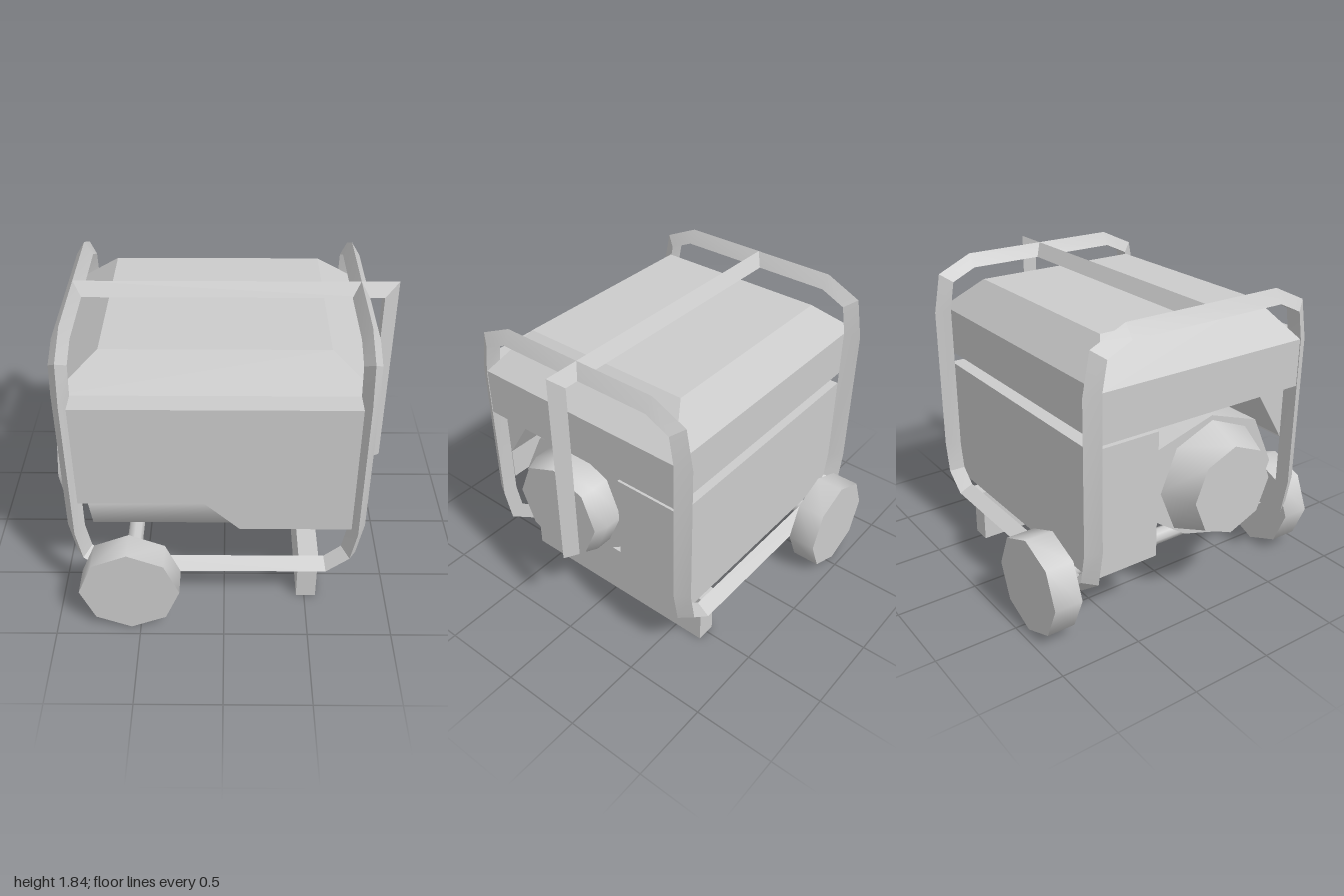
import * as THREE from 'three';
import { toCreasedNormals } from 'three/addons/utils/BufferGeometryUtils.js';

const material = new THREE.MeshStandardMaterial({ color: 0xcccccc });

// Skin a run of equal-sized cross-section rings; caps the ends unless it loops.
function loft(rings, { closed = false, crease = 0.3 } = {}) {
  const n = rings[0].length;
  const tris = [];
  const last = closed ? rings.length : rings.length - 1;
  for (let i = 0; i < last; i++) {
    const a = rings[i], b = rings[(i + 1) % rings.length];
    for (let j = 0; j < n; j++) {
      const k = (j + 1) % n;
      tris.push([a[j], a[k], b[k]], [a[j], b[k], b[j]]);
    }
  }
  if (!closed) {
    const a = rings[0], b = rings[rings.length - 1];
    for (let j = 1; j < n - 1; j++) tris.push([a[0], a[j + 1], a[j]], [b[0], b[j], b[j + 1]]);
  }
  // Turn the faces outward whatever the order of the rings
  let volume = 0;
  const v = (p) => new THREE.Vector3(...p);
  for (const [a, b, c] of tris) volume += v(a).dot(v(b).cross(v(c)));
  if (volume < 0) tris.forEach((t) => t.reverse());
  const geometry = new THREE.BufferGeometry();
  geometry.setAttribute('position', new THREE.Float32BufferAttribute(tris.flat(2), 3));
  return toCreasedNormals(geometry, crease);
}

// Octagonal ring across x, with a corner pointing up
function octagon(x, radius, cy, cz) {
  return Array.from({ length: 8 }, (_, i) => {
    const a = (i * Math.PI) / 4;
    return [x, cy + radius * Math.cos(a), cz + radius * Math.sin(a)];
  });
}

// Rectangular ring at one height
const rect = (y, x0, x1, z0, z1) => [[x0, y, z0], [x0, y, z1], [x1, y, z1], [x1, y, z0]];

export function createModel() {
  const group = new THREE.Group();

  function add(name, geometry) {
    const mesh = new THREE.Mesh(geometry, material);
    mesh.name = name;
    group.add(mesh);
    return mesh;
  }

  function addBox(name, x0, x1, y0, y1, z0, z1) {
    add(name, new THREE.BoxGeometry(x1 - x0, y1 - y0, z1 - z0))
      .position.set((x0 + x1) / 2, (y0 + y1) / 2, (z0 + z1) / 2);
  }

  // Frame: one continuous three-sided tube, two hoops joined by bottom rails
  const midX = -0.045;
  // bottom bend: outer x, y and inner x, y, from the rail up to the post
  const bend = [
    [0.665, 0.25, 0.645, 0.345],
    [0.835, 0.38, 0.745, 0.43],
    [0.875, 0.6, 0.775, 0.59],
  ];
  // hoop top: outer z, y and inner z, y
  const top = [
    [0.77, 1.5, 0.685, 1.52],
    [0.725, 1.74, 0.655, 1.69],
    [0.51, 1.84, 0.505, 1.76],
  ];
  const frameRings = [];
  for (const s of [1, -1]) {
    const half = (f) => [
      ...bend.map(([xo, yo, xi, yi]) => [
        [midX + s * (xo + xi) / 2, (yo + yi) / 2, f * 0.77],
        [midX + s * xo, yo, f * 0.685],
        [midX + s * xi, yi, f * 0.685],
      ]),
      ...top.map(([zo, yo, zi, yi]) => [
        [midX + s * 0.825, yo, f * zo],
        [midX + s * 0.875, yi, f * zi],
        [midX + s * 0.775, yi, f * zi],
      ]),
    ];
    frameRings.push(...half(s), ...half(-s).reverse());
  }
  add('frame', loft(frameRings, { closed: true }));

  // Handle: bar across the top that turns down at one end
  add('handle', loft([
    [[-0.87, 1.84, 0], [-0.87, 1.76, 0.048], [-0.87, 1.76, -0.048]],
    [[1, 1.84, 0], [0.915, 1.76, 0.048], [0.915, 1.76, -0.048]],
    [[1, 0.59, 0], [0.915, 0.59, 0.048], [0.915, 0.59, -0.048]],
  ]));

  // Fuel tank: straight band with a sloped top
  add('fuelTank', loft([
    rect(1.235, -0.915, 0.825, -0.685, 0.685),
    rect(1.52, -0.915, 0.825, -0.685, 0.685),
    rect(1.725, -0.67, 0.575, -0.525, 0.55),
  ]));

  // Control panel with a stepped lower edge
  const panel = new THREE.Shape([
    [-0.82, 1.52], [-0.82, 0.875], [-0.11, 0.875], [0.09, 0.685], [0.73, 0.685], [0.73, 1.52],
  ].map(([x, y]) => new THREE.Vector2(x, y)));
  add('controlPanel', new THREE.ExtrudeGeometry(panel, { depth: 0.135, bevelEnabled: false }))
    .position.z = 0.68;

  // Wedge bracing the panel under the tank
  add('panelBrace', loft([-0.82, 0.73].map((x) => [
    [x, 1.235, 0.685], [x, 1.235, 0.46], [x, 0.875, 0.685],
  ])));

  // Engine body: lopsided eight-sided barrel along x, as z, y corners
  const barrel = [
    [0.635, 0.72], [0.49, 1.03], [0.15, 1.145], [-0.245, 1.03],
    [-0.265, 0.6], [-0.02, 0.43], [0.22, 0.36], [0.53, 0.47],
  ];
  add('engineBody', loft([-0.8, 0.66].map((x) => barrel.map(([z, y]) => [x, y, z])), { crease: 1.1 }));

  // End covers
  add('leftCover', loft([
    octagon(0.64, 0.33, 0.76, 0.18),
    octagon(0.77, 0.33, 0.76, 0.18),
    octagon(0.85, 0.3, 0.76, 0.18),
  ], { crease: 0.9 }));
  add('rightCover', loft([
    octagon(-0.78, 0.37, 0.7525, 0.155),
    octagon(-1, 0.275, 0.7525, 0.155),
  ], { crease: 0.9 }));

  // Rear housing
  addBox('rearHousing', -0.82, 0.775, 0.375, 1.16, -0.685, -0.245);

  // Foot, wheels and axle
  addBox('foot', 0.45, 0.57, 0, 0.345, -0.685, 0.685);
  for (const s of [1, -1]) {
    const wheel = new THREE.CylinderGeometry(0.295, 0.295, 0.175, 8).rotateX(Math.PI / 2);
    add(s > 0 ? 'frontWheel' : 'backWheel', toCreasedNormals(wheel, 0.9))
      .position.set(-0.555, 0.295, s * 0.8575);
  }
  add('axle', new THREE.CylinderGeometry(0.048, 0.048, 1.54, 8).rotateX(Math.PI / 2))
    .position.set(-0.555, 0.295, 0);

  return group;
}
